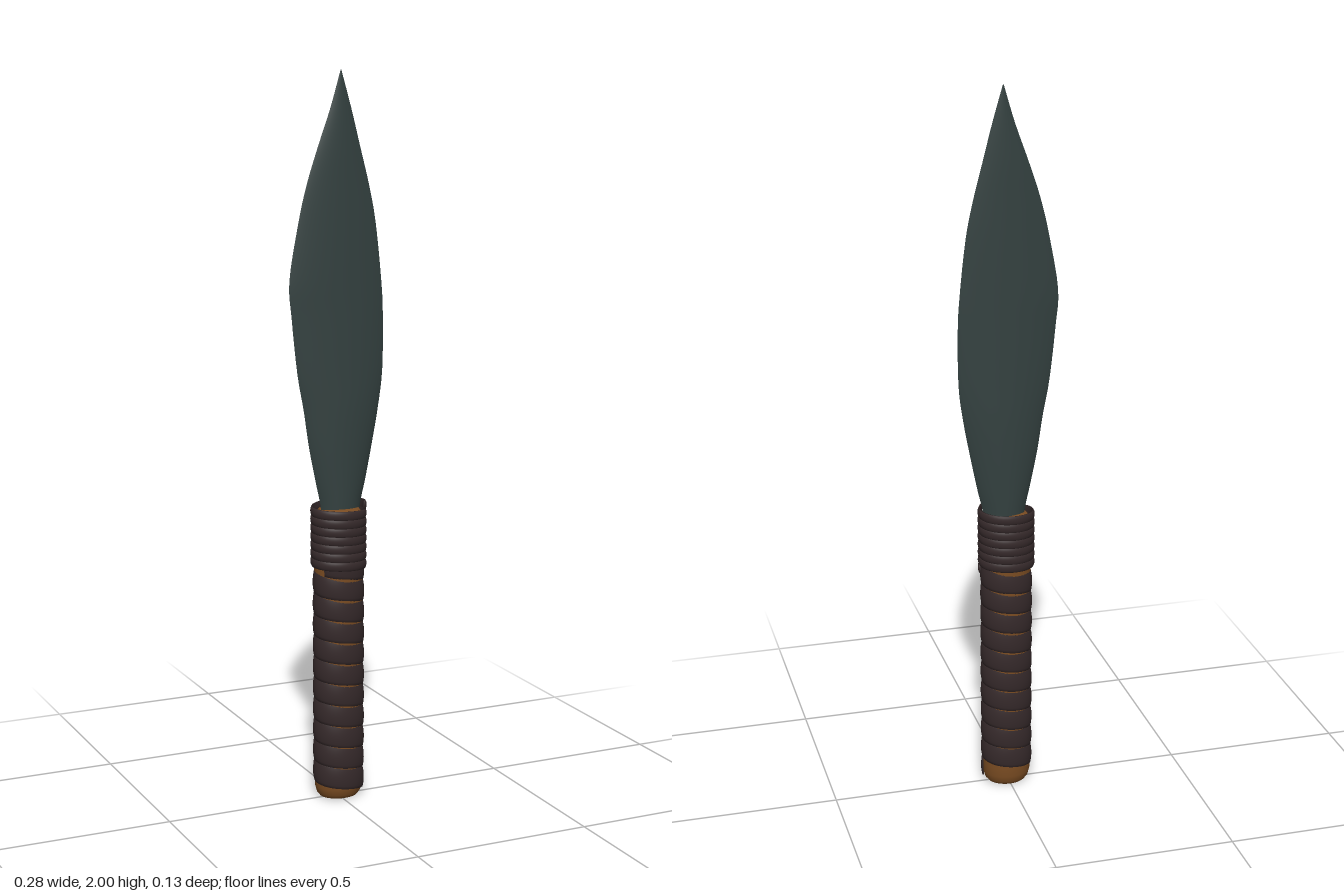
import * as THREE from 'three';

const steel = new THREE.MeshStandardMaterial({ color: 0x33403f });
steel.name = 'darkSteel';
const leather = new THREE.MeshStandardMaterial({ color: 0x35292a });
leather.name = 'darkLeather';
const wood = new THREE.MeshStandardMaterial({ color: 0x7a4c22 });
wood.name = 'brownWood';

function indexed(positions, indices) {
  const g = new THREE.BufferGeometry();
  g.setAttribute('position', new THREE.Float32BufferAttribute(positions, 3));
  g.setIndex(indices);
  g.computeVertexNormals();
  return g;
}

// Leaf blade: [y, left edge, right edge, half thickness]
const STATIONS = [
  [0.78, -0.045, 0.062, 0.027], [0.84, -0.052, 0.07, 0.028], [0.9, -0.065, 0.084, 0.028],
  [1.0, -0.085, 0.104, 0.028], [1.1, -0.1, 0.122, 0.027], [1.2, -0.118, 0.134, 0.024],
  [1.35, -0.134, 0.135, 0.02], [1.45, -0.14, 0.129, 0.018], [1.6, -0.114, 0.112, 0.015],
  [1.7, -0.09, 0.092, 0.013], [1.8, -0.057, 0.066, 0.011], [1.9, -0.021, 0.04, 0.007],
  [2.0, 0.009, 0.011, 0.001],
];

// One lens-shaped face of the blade; side is +1 for front, -1 for back
function bladeFace(side) {
  const outline = new THREE.CatmullRomCurve3(
    STATIONS.map(([y, l, r]) => new THREE.Vector3(l, y, r)), false, 'catmullrom');
  const thickness = new THREE.CatmullRomCurve3(
    STATIONS.map(([y, , , h]) => new THREE.Vector3(h, y, 0)), false, 'catmullrom');
  const rows = 48, cols = 16, pos = [], idx = [];
  for (let i = 0; i <= rows; i++) {
    const e = outline.getPoint(i / rows), h = thickness.getPoint(i / rows).x;
    for (let j = 0; j <= cols; j++) {
      const u = -Math.cos((j / cols) * Math.PI);
      pos.push(THREE.MathUtils.lerp(e.x, e.z, (u + 1) / 2), e.y,
        side * h * Math.pow(Math.max(0, 1 - u * u), 0.8));
      if (i < rows && j < cols) {
        const a = i * (cols + 1) + j, b = a + 1, c = a + cols + 1, d = c + 1;
        if (side > 0) idx.push(a, b, d, a, d, c);
        else idx.push(a, d, b, a, c, d);
      }
    }
  }
  return indexed(pos, idx);
}

// Strip wound around an oval grip; section is [radius, height] pairs, counter-clockwise
function wrapGeometry(bottom, pitch, turns, section, depth) {
  const steps = Math.round(turns * 40), n = section.length, pos = [], idx = [];
  for (let i = 0; i <= steps; i++) {
    const t = (i / steps) * turns, a = t * Math.PI * 2;
    for (const [r, h] of section) {
      pos.push(r * Math.cos(a), bottom + t * pitch + h, r * Math.sin(a) * depth);
    }
    if (i === steps) break;
    for (let j = 0; j < n; j++) {
      const p = i * n + j, q = i * n + (j + 1) % n;
      idx.push(p, q, q + n, p, q + n, p + n);
    }
  }
  // End caps
  const last = steps * n;
  for (let j = 1; j < n - 1; j++) {
    idx.push(0, j + 1, j, last, last + j, last + j + 1);
  }
  return indexed(pos, idx);
}

// Rounded strip section, leaning outward at its lower edge by lean
function stripSection(inner, outer, height, lean) {
  const pts = [[inner, 0]];
  for (let k = 0; k <= 8; k++) {
    const s = k / 8;
    const bulge = Math.pow(Math.sin(Math.PI * (0.08 + 0.84 * s)), 0.5);
    pts.push([inner + (outer - inner) * bulge - lean * s, height * s]);
  }
  pts.push([inner - lean, height]);
  return pts;
}

export function createModel() {
  const model = new THREE.Group();
  const add = (parent, name, geometry, material) => {
    const mesh = new THREE.Mesh(geometry, material);
    mesh.name = name;
    parent.add(mesh);
    return mesh;
  };

  const blade = new THREE.Group();
  blade.name = 'blade';
  add(blade, 'bladeFront', bladeFace(1), steel);
  add(blade, 'bladeBack', bladeFace(-1), steel);
  model.add(blade);

  const handle = new THREE.Group();
  handle.name = 'handle';
  handle.position.x = 0.003;
  model.add(handle);

  // Oval wooden core with rounded ends
  const profile = [[0, 0], [0.042, 0], [0.054, 0.004], [0.062, 0.014], [0.067, 0.032],
    [0.068, 0.06], [0.069, 0.79], [0.066, 0.81], [0.056, 0.822], [0, 0.826]];
  const core = add(handle, 'woodenCore',
    new THREE.LatheGeometry(profile.map(([r, y]) => new THREE.Vector2(r, y)), 48), wood);
  core.scale.z = 0.84;

  // Broad overlapping grip wrap and the finer binding below the blade
  const grip = stripSection(0.066, 0.0745, 0.066, 0.003);
  add(handle, 'gripWrap', wrapGeometry(0.018, 0.06, 10.4, grip, 0.82), leather);
  const binding = stripSection(0.0725, 0.0795, 0.025, 0);
  add(handle, 'collarBinding', wrapGeometry(0.652, 0.0235, 7.1, binding, 0.81), leather);

  return model;
}
